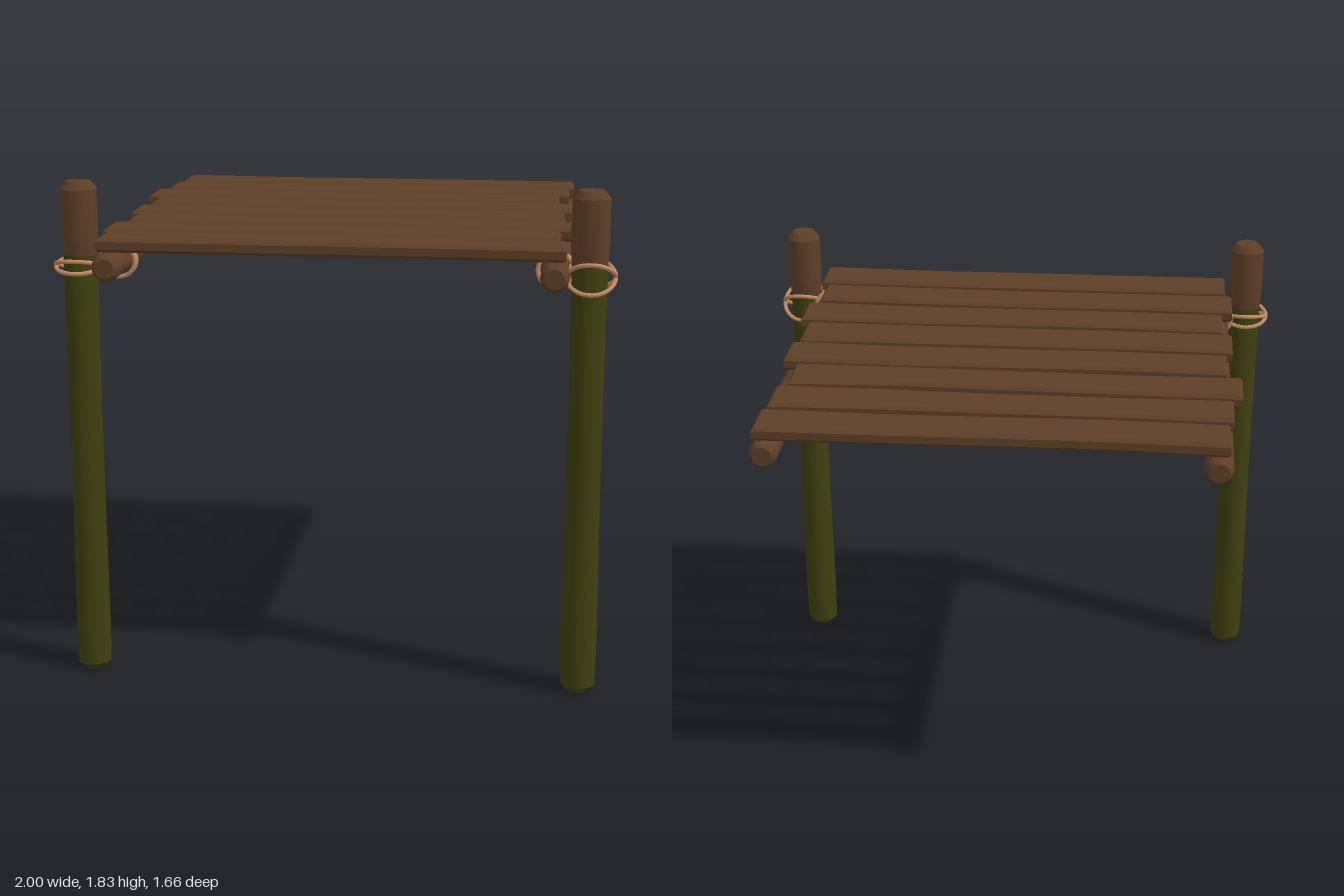
import * as THREE from 'three';
import { toCreasedNormals } from 'three/addons/utils/BufferGeometryUtils.js';

const mat = (name, color) => {
  const m = new THREE.MeshStandardMaterial({ color });
  m.name = name;
  return m;
};

// Solid of revolution from [radius, height] pairs, bottom to top
function turned(profile) {
  const pts = profile.map(([r, y]) => new THREE.Vector2(r, y));
  return toCreasedNormals(new THREE.LatheGeometry(pts, 12), 0.6);
}

// Chamfered board: outline follows wavy back and front edges
function board(x0, x1, z, back, front) {
  const shape = new THREE.Shape();
  const at = (i) => x0 + ((x1 - x0) * i) / 4;
  shape.moveTo(x0, z - 0.087 + back[0] / 100);
  for (let i = 1; i < 5; i++) shape.lineTo(at(i), z - 0.087 + back[i] / 100);
  for (let i = 4; i >= 0; i--) shape.lineTo(at(i), z + 0.087 + front[i] / 100);
  shape.closePath();
  const b = 0.011;
  const geo = new THREE.ExtrudeGeometry(shape, {
    depth: 0.05 - 2 * b, bevelThickness: b, bevelSize: b, bevelOffset: -b, bevelSegments: 1,
  });
  geo.rotateX(Math.PI / 2);
  geo.translate(0, 1.645 - b, 0);
  return geo;
}

// Closed rope loop through points given by a function of the angle
function loop(fn) {
  const pts = [];
  for (let i = 0; i < 10; i++) pts.push(new THREE.Vector3(...fn((i / 10) * Math.PI * 2)));
  return new THREE.TubeGeometry(new THREE.CatmullRomCurve3(pts, true), 30, 0.008, 6, true);
}

export function createModel() {
  const model = new THREE.Group();
  model.name = 'raisedPlatform';
  const wood = mat('brown wood', 0x5e3f27);
  const green = mat('mossy green', 0x3f400f);
  const rope = mat('tan rope', 0xc48c64);
  const add = (parent, name, geo, material) => {
    const mesh = new THREE.Mesh(geo, material);
    mesh.name = name;
    parent.add(mesh);
    return mesh;
  };

  // Post in two colours, and the side beam
  const postBottom = turned([[0, 0], [0.042, 0], [0.063, 0.025], [0.065, 0.2], [0.061, 0.6],
    [0.06, 1.1], [0.063, 1.57]]);
  const postTop = turned([[0.063, 1.57], [0.067, 1.65], [0.066, 1.805], [0.045, 1.832], [0, 1.832]]);
  const beamGeo = turned([[0, -0.83], [0.036, -0.83], [0.051, -0.805], [0.051, -0.3], [0.049, 0.2],
    [0.051, 0.805], [0.036, 0.83], [0, 0.83]]).rotateX(Math.PI / 2);

  for (const side of [-1, 1]) {
    const label = side > 0 ? 'left' : 'right';
    const post = new THREE.Group();
    post.name = label + 'Post';
    post.position.set(side * 0.902, 0, 0.698);
    add(post, 'postBottom', postBottom, green);
    add(post, 'postTop', postTop, wood);
    model.add(post);

    add(model, label + 'Beam', beamGeo, wood).position.set(side * 0.785, 1.541, 0);

    // Lashing: two crossed loops on the post and two around the beam
    const lashing = new THREE.Group();
    lashing.name = label + 'Lashing';
    const tilts = side > 0 ? [0.055, -0.05] : [0.025, -0.02];
    for (const t of tilts) {
      add(lashing, 'postLoop', loop((a) => [
        side * (0.907 + 0.085 * Math.cos(a)),
        1.53 + t * Math.sin(a),
        0.694 + 0.082 * Math.sin(a),
      ]), rope);
    }
    for (const t of [0.012, -0.012]) {
      add(lashing, 'beamLoop', loop((a) => [
        side * (0.785 + 0.064 * Math.cos(a)),
        1.537 + 0.062 * Math.sin(a),
        0.62 + t * Math.cos(a),
      ]), rope);
    }
    model.add(lashing);
  }

  // Deck planks: x start, x end, z centre, back and front edge waviness (hundredths)
  const planks = [
    [-0.82, 0.82, -0.735, [0, 1.5, 1, 0.2, 0], [0, 1, 0, -0.8, 0]],
    [-0.835, 0.805, -0.527, [0, 1, 0.8, 1, 0], [0, -0.8, -0.8, 0, 0]],
    [-0.87, 0.77, -0.32, [-0.3, 0.2, 0.8, 1.5, 0], [0, -0.8, -0.5, 0, 0]],
    [-0.815, 0.825, -0.11, [0, 1.2, 0.3, -0.8, 0], [0, 0.3, -0.3, -1, 0]],
    [-0.84, 0.8, 0.097, [0, 1, 0.6, 0, -0.5], [0, 0.5, 0, -0.4, 0]],
    [-0.805, 0.835, 0.305, [0, 1.5, 0.8, -0.3, 0], [0, 0, -0.5, -0.8, 0]],
    [-0.845, 0.795, 0.512, [0, 1, 0, 0.2, 0.8], [0, -0.5, -1.2, -0.8, 0]],
    [-0.82, 0.823, 0.72, [0, 0.2, 0, -0.4, 0], [0, -0.3, -0.6, -1.3, 0]],
  ];
  const deck = new THREE.Group();
  deck.name = 'deck';
  planks.forEach((p, i) => add(deck, 'plank' + (i + 1), board(...p), wood));
  model.add(deck);

  return model;
}
